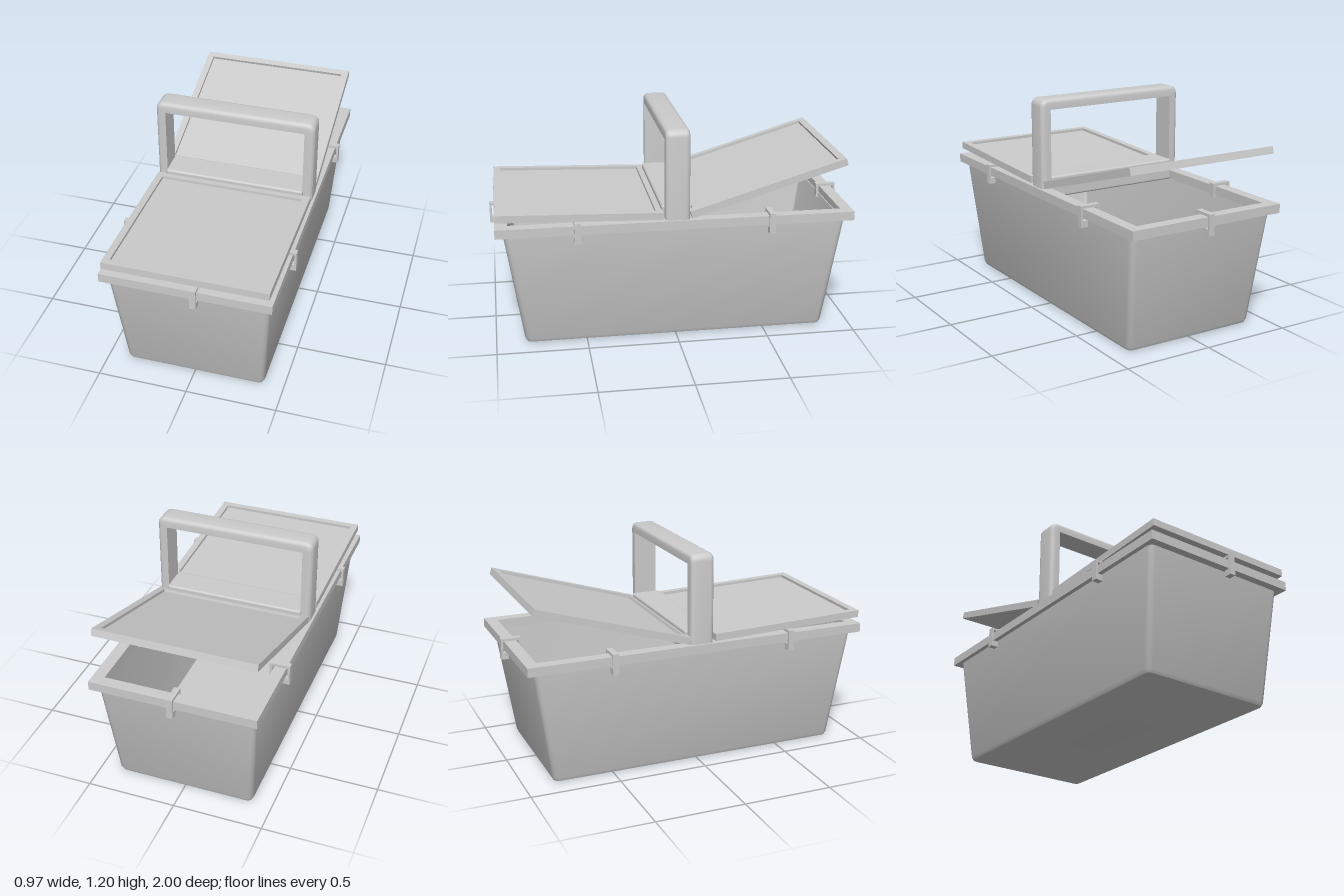
import * as THREE from 'three';
import { toCreasedNormals } from 'three/addons/utils/BufferGeometryUtils.js';
import { RoundedBoxGeometry } from 'three/addons/geometries/RoundedBoxGeometry.js';

const material = new THREE.MeshStandardMaterial({ color: 0xcccccc });

function part(name, geometry, parent) {
  const mesh = new THREE.Mesh(geometry, material);
  mesh.name = name;
  parent.add(mesh);
  return mesh;
}

// Skin a list of equal-length closed rings and cap both ends
function loft(rings) {
  const n = rings[0].length;
  const pts = rings.flat();
  const index = [];
  for (let r = 0; r < rings.length - 1; r++) {
    for (let i = 0; i < n; i++) {
      const a = r * n + i, b = r * n + (i + 1) % n;
      index.push(a, b, b + n, a, b + n, a + n);
    }
  }
  [rings[0], rings[rings.length - 1]].forEach((ring, end) => {
    const c = pts.length, start = end ? (rings.length - 1) * n : 0;
    pts.push(ring.reduce((s, p) => s.add(p), new THREE.Vector3()).divideScalar(n));
    for (let i = 0; i < n; i++) {
      const a = start + i, b = start + (i + 1) % n;
      if (end) index.push(c, a, b); else index.push(c, b, a);
    }
  });
  const g = new THREE.BufferGeometry().setFromPoints(pts);
  g.setIndex(index);
  return toCreasedNormals(g, 0.6);
}

// Rounded rectangle at height y, counter-clockwise seen from above
function roundedRing(hx, hz, y, r) {
  const ring = [];
  [[1, 1], [-1, 1], [-1, -1], [1, -1]].forEach(([sx, sz], q) => {
    for (let i = 0; i <= 4; i++) {
      const a = (q + i / 4) * Math.PI / 2;
      ring.push(new THREE.Vector3(
        sx * (hx - r) + r * Math.cos(a), y, -sz * (hz - r) - r * Math.sin(a)));
    }
  });
  return ring;
}

// Flat rectangular ring lying in xz, from y = 0 up to height
function frame(hx, hz, border, height) {
  const rect = (P, x, z) => new P(
    [[-x, -z], [x, -z], [x, z], [-x, z]].map(p => new THREE.Vector2(...p)));
  const shape = rect(THREE.Shape, hx, hz);
  shape.holes.push(rect(THREE.Path, hx - border, hz - border));
  return new THREE.ExtrudeGeometry(shape, { depth: height, bevelEnabled: false })
    .rotateX(-Math.PI / 2);
}

// Framed lid hinged at its own z = 0 edge
function makeLid(name) {
  const lid = new THREE.Group();
  lid.name = name;
  const hx = 0.447, length = 0.895, border = 0.038;
  part('lidFrame', frame(hx, length / 2, border, 0.04), lid).position.z = length / 2;
  part('lidPanel', new THREE.BoxGeometry(2 * (hx - border), 0.024, length - 2 * border), lid)
    .position.set(0, 0.012, length / 2);
  lid.rotation.order = 'YXZ';
  return lid;
}

// Upright bar loop with rounded outer edges and a square-cut opening
function makeHandle() {
  const hz = 0.067, r = 0.4; // r is a share of the bar's depth
  const section = [[0, -hz]];
  for (const s of [-1, 1]) {
    for (let i = 0; i <= 4; i++) {
      const a = (s < 0 ? i - 4 : i) / 4 * Math.PI / 2;
      section.push([1 - r + r * Math.cos(a), s * (hz - 0.024) + 0.024 * Math.sin(a)]);
    }
  }
  section.push([0, hz]);
  const stations = [[-0.395, 0.66, -0.45, 0.66]];
  for (const s of [-1, 1]) {
    for (let i = 0; i <= 5; i++) {
      const a = Math.PI / 2 * (s < 0 ? 2 - i / 5 : 1 - i / 5);
      stations.push([s * 0.395, 1.14,
        s * 0.41 + 0.04 * Math.cos(a), 1.157 + 0.04 * Math.sin(a)]);
    }
  }
  stations.push([0.395, 0.66, 0.45, 0.66]);
  return loft(stations.map(([ix, iy, ox, oy]) => section.map(([u, z]) =>
    new THREE.Vector3(ix + (ox - ix) * u, iy + (oy - iy) * u, z))));
}

// Hook wrapped over the rim; local +x points outward, x = 0 is the rim's edge
function makeClip() {
  const outline = [
    [-0.02, 0.605], [0.022, 0.605], [0.022, 0.72], [-0.09, 0.72], [-0.09, 0.64],
    [-0.075, 0.64], [-0.075, 0.706], [0.01, 0.706], [0.01, 0.64], [-0.02, 0.64]];
  const shape = new THREE.Shape(outline.map(p => new THREE.Vector2(...p)));
  return new THREE.ExtrudeGeometry(shape, { depth: 0.034, bevelEnabled: false })
    .translate(0, 0, -0.017);
}

export function createModel() {
  const model = new THREE.Group();
  model.name = 'picnicBasket';

  // Tapered tub: up the outside, over the lip, down the inside to the floor
  part('tub', loft([
    [0.37, 0.82, 0, 0.02], [0.383, 0.833, 0.006, 0.028], [0.392, 0.842, 0.026, 0.032],
    [0.438, 0.938, 0.66, 0.032], [0.41, 0.91, 0.66, 0.02], [0.364, 0.814, 0.03, 0.02],
  ].map(a => roundedRing(...a))), model);

  part('rim', frame(0.463, 0.98, 0.065, 0.05), model).position.y = 0.65;

  part('handle', makeHandle(), model);
  part('centreBar', new RoundedBoxGeometry(0.8, 0.12, 0.168, 2, 0.012), model)
    .position.y = 0.71;

  // Front lid nearly shut, back lid propped open
  const frontLid = makeLid('frontLid');
  frontLid.position.set(0, 0.705, 0.08);
  frontLid.rotation.x = -0.033;
  const backLid = makeLid('backLid');
  backLid.position.set(0, 0.705, -0.078);
  backLid.rotation.set(-0.293, Math.PI, 0);
  model.add(frontLid, backLid);

  // Rim clips: position and the turn that points them outward
  const clip = makeClip();
  [
    [0.463, 0.545, 0], [0.463, -0.515, 0],
    [-0.463, 0.525, Math.PI], [-0.463, -0.51, Math.PI],
    [0.053, 0.98, -Math.PI / 2], [0, -0.98, Math.PI / 2],
  ].forEach(([x, z, turn]) => {
    const mesh = part('rimClip', clip, model);
    mesh.position.set(x, 0, z);
    mesh.rotation.y = turn;
  });

  return model;
}
